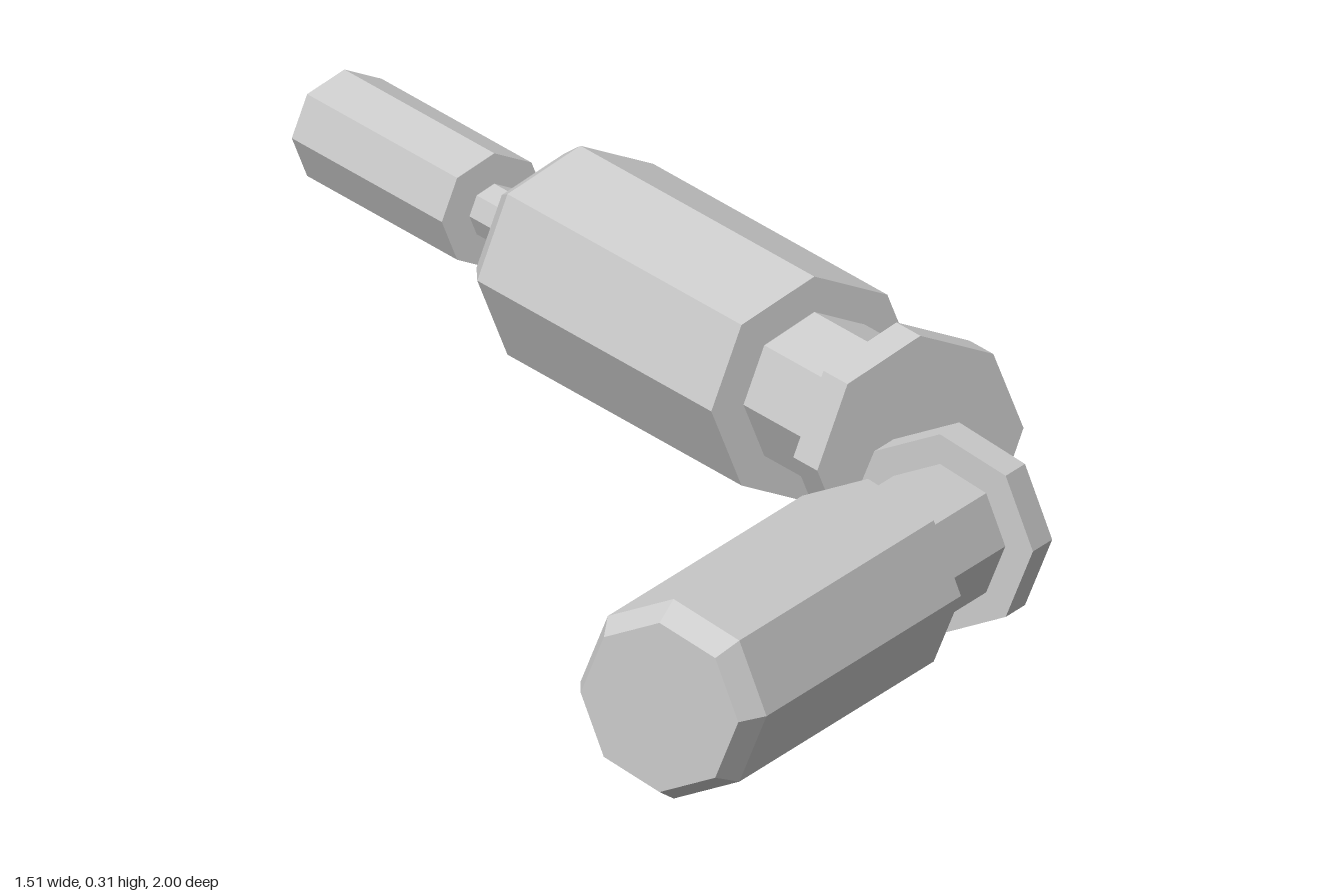
import * as THREE from 'three';

const material = new THREE.MeshStandardMaterial({ color: 0xcccccc, flatShading: true });

// Solid octagonal turning; profile is [radius, distance along +z], capped at both ends
function turned(name, profile) {
  const ends = [[0, profile[0][1]], ...profile, [0, profile[profile.length - 1][1]]];
  const geometry = new THREE.LatheGeometry(ends.map(([r, s]) => new THREE.Vector2(r, s)), 8);
  geometry.rotateX(Math.PI / 2);
  const mesh = new THREE.Mesh(geometry, material);
  mesh.name = name;
  return mesh;
}

// Lays parts along a horizontal direction, starting at the flange face
function assembly(name, start, dx, dz, parts) {
  const group = new THREE.Group();
  group.name = name;
  group.position.set(...start);
  group.rotation.y = Math.atan2(dx, dz);
  for (const [partName, profile] of parts) group.add(turned(partName, profile));
  return group;
}

export function createModel() {
  const model = new THREE.Group();
  model.name = 'twoPieceTool';

  // Larger piece with a thin shaft and grip
  model.add(assembly('longPiece', [0.456, 0.157, -0.086], -0.806, -0.592, [
    ['flange', [[0.157, 0], [0.157, 0.06]]],
    ['neck', [[0.108, 0.06], [0.108, 0.265]]],
    ['body', [[0.157, 0.265], [0.157, 0.85], [0.132, 0.893]]],
    ['collar', [[0.052, 0.893], [0.052, 0.91]]],
    ['shaft', [[0.038, 0.91], [0.038, 1.065]]],
    ['grip', [[0.08, 1.065], [0.08, 1.44]]],
    ['gripTip', [[0.05, 1.44], [0.05, 1.467]]],
  ]));

  // Smaller separate piece
  model.add(assembly('shortPiece', [0.62, 0.168, 0.18], -0.113, 0.994, [
    ['flange', [[0.138, 0], [0.138, 0.052]]],
    ['neck', [[0.097, 0.052], [0.097, 0.246]]],
    ['body', [[0.138, 0.246], [0.138, 0.77], [0.117, 0.808]]],
  ]));

  return model;
}
